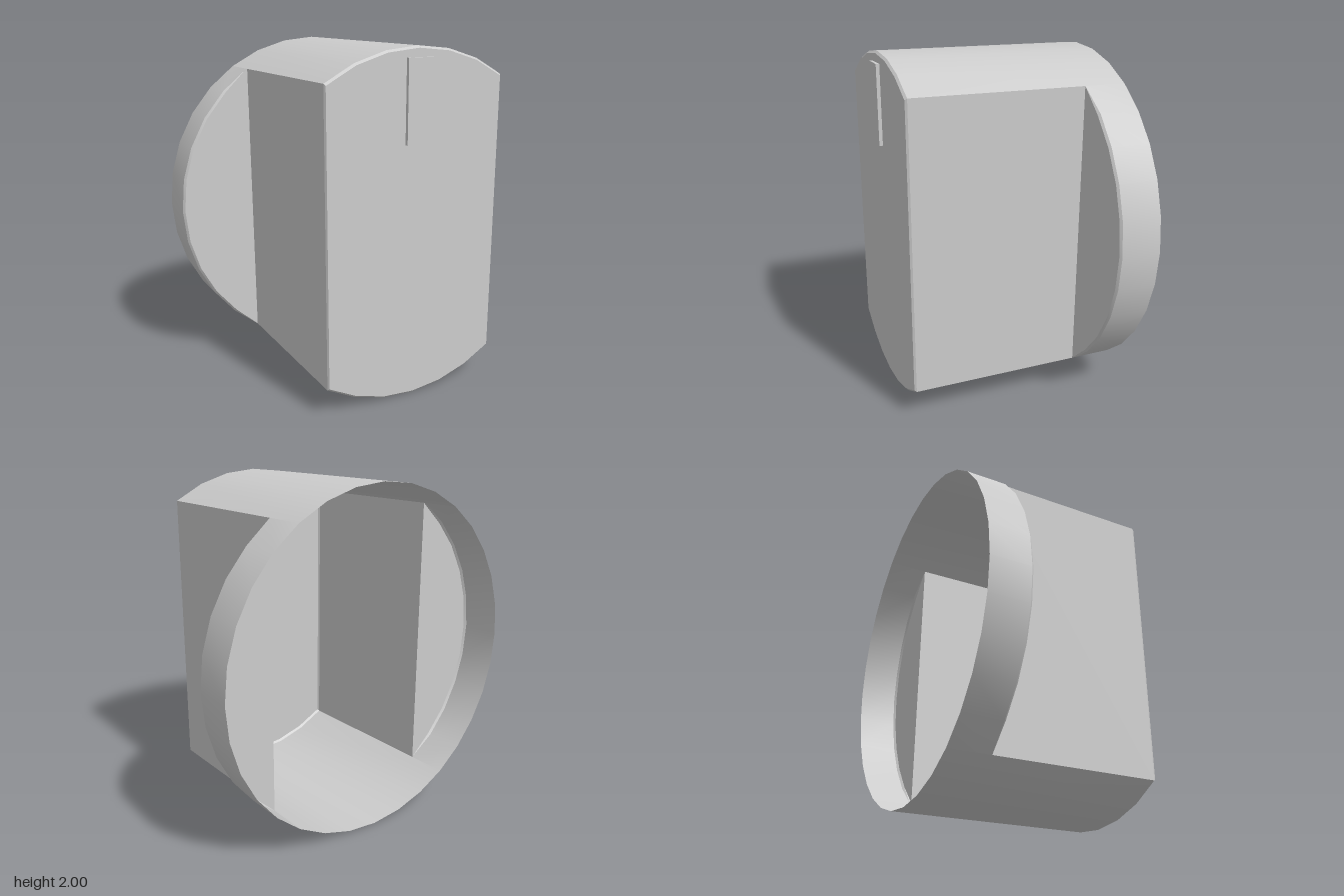
import * as THREE from 'three';
import { mergeGeometries, toCreasedNormals } from 'three/addons/utils/BufferGeometryUtils.js';

const STEP = Math.PI / 16;            // 32-sided round body
const BACK = -0.635, SHELF = -0.39, FRONT = 0.615, BEVEL = 0.012;
const HALF = Math.sin(3 * STEP);      // half width of the grip

// Arc points counted clockwise from the top, in steps of the 32-gon
function arc(from, to, r, z) {
  const pts = [];
  for (let i = from; i <= to; i++) pts.push([r * Math.sin(i * STEP), r * Math.cos(i * STEP), z]);
  return pts;
}

// Surface through rows of points
function sheet(rows) {
  const n = rows[0].length, index = [];
  for (let r = 0; r < rows.length - 1; r++) {
    for (let i = 0; i < n - 1; i++) {
      const a = r * n + i, c = a + n;
      index.push(a, c, a + 1, a + 1, c, c + 1);
    }
  }
  const g = new THREE.BufferGeometry();
  g.setAttribute('position', new THREE.Float32BufferAttribute(rows.flat(2), 3));
  g.setIndex(index);
  return g;
}

const smooth = (parts) => toCreasedNormals(mergeGeometries(parts), 0.5);

export function createModel() {
  const grey = new THREE.MeshStandardMaterial({ color: 0xcccccc, side: THREE.DoubleSide });
  grey.name = 'light grey';
  const group = new THREE.Group();
  group.name = 'knob';
  const add = (name, geometry) => {
    const mesh = new THREE.Mesh(geometry, grey);
    mesh.name = name;
    mesh.position.y = 1;
    group.add(mesh);
    return mesh;
  };

  // Curved grip wall with a bevelled front edge
  const inset = 1 - BEVEL;
  const gripArc = sheet([
    arc(-3, 3, 1, BACK), arc(-3, 3, 1, FRONT - BEVEL), arc(-3, 3, inset, FRONT),
  ]);

  // Flat grip side
  const h = Math.cos(3 * STEP);
  const edge = (s, z) => [[HALF * s, h * s, z], [HALF * s, -h * s, z]];
  const gripSide = sheet([edge(1, SHELF), edge(1, FRONT - BEVEL), edge(inset, FRONT)]);

  // Skirt wall, its bevel, and the shelf reaching in to the grip
  const rim = arc(3, 13, 1, SHELF).map(([x, y, z], i) =>
    (i === 0 || i === 10) ? [x, y, z] : [x * inset, y * inset, z]);
  const skirt = sheet([arc(3, 13, 1, BACK), arc(3, 13, 1, SHELF - BEVEL), rim]);
  const shelf = sheet([rim, rim.map(([, y, z]) => [HALF, y, z])]);

  // The shell repeats after half a turn
  const half = smooth([gripArc, gripSide, skirt, shelf]);
  add('upperLeftShell', half);
  add('lowerRightShell', half).rotation.z = Math.PI;

  // Front face
  const topEdge = arc(-3, 3, inset, FRONT);
  add('frontFace', smooth([sheet([topEdge, topEdge.map(([x, y, z]) => [x, -y, z])])]));

  // Raised pointer mark
  const pointer = add('pointer', new THREE.BoxGeometry(0.156, 0.455, 0.02));
  pointer.position.set(0, 1.713, FRONT + 0.01);
  return group;
}
